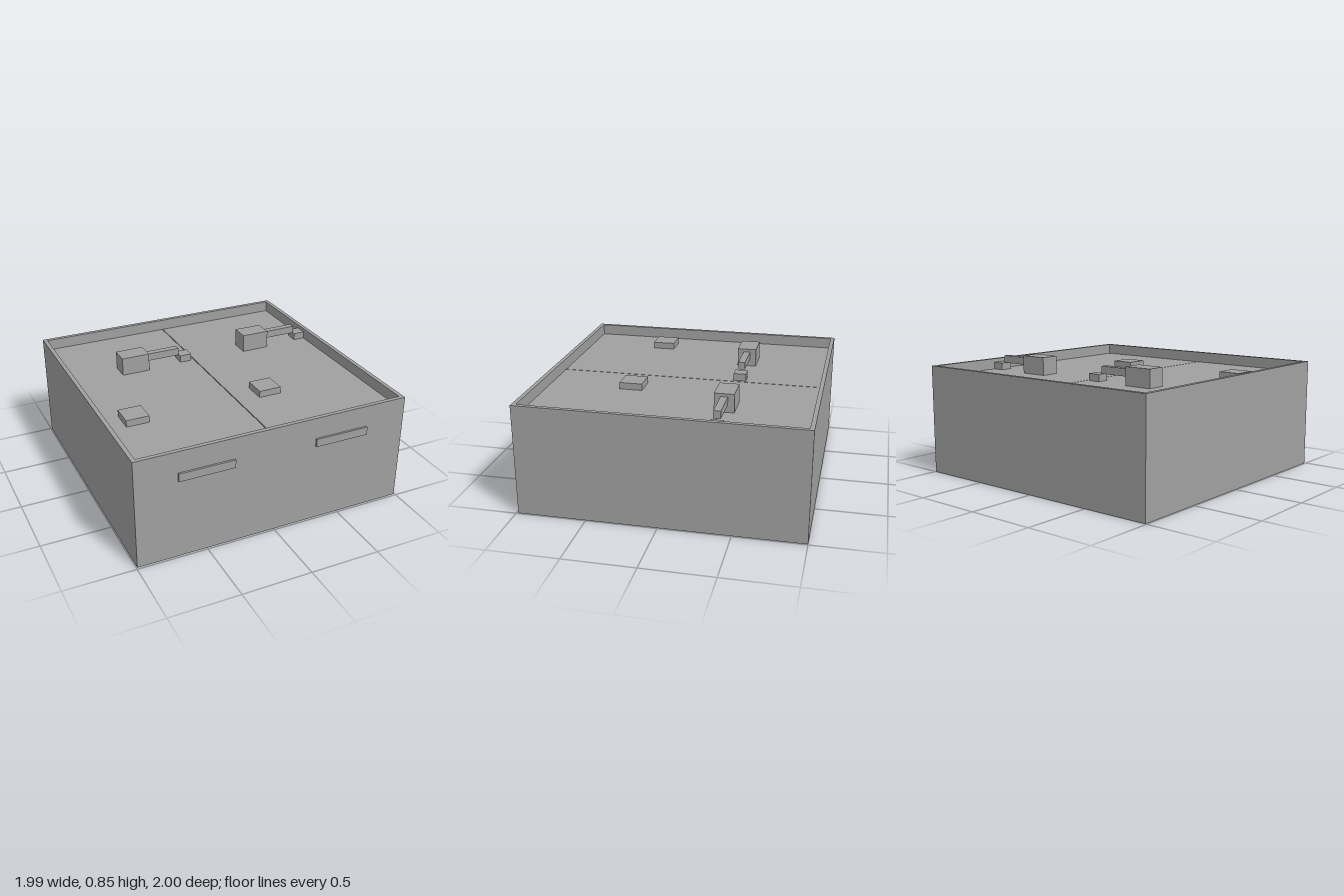
import * as THREE from 'three';

export function createModel() {
  const model = new THREE.Group();
  const grey = new THREE.MeshStandardMaterial({ color: 0xa0a0a0, side: THREE.DoubleSide });
  grey.name = 'grey';

  const HALF = 0.993, RIM = 0.03, TOP = 0.795, FLOOR = 0.715, MID_Z = -0.0075;

  // Box given by its minimum and maximum on each axis
  function box(name, x0, x1, y0, y1, z0, z1, parent = model) {
    const mesh = new THREE.Mesh(new THREE.BoxGeometry(x1 - x0, y1 - y0, z1 - z0), grey);
    mesh.position.set((x0 + x1) / 2, (y0 + y1) / 2, (z0 + z1) / 2);
    mesh.name = name;
    parent.add(mesh);
    return mesh;
  }

  // Square shell, open below: outer wall, narrow rim and inner lip as one four-sided turn
  const profile = [[HALF, 0], [HALF, TOP], [HALF - RIM, TOP], [HALF - RIM, FLOOR]]
    .map(([r, y]) => new THREE.Vector2(r * Math.SQRT2, y));
  const shellGeometry = new THREE.LatheGeometry(profile, 4, Math.PI / 4).toNonIndexed();
  shellGeometry.computeVertexNormals();
  const shell = new THREE.Mesh(shellGeometry, grey);
  shell.name = 'shell';
  shell.position.z = MID_Z;
  model.add(shell);

  // Two recessed floor panels with a fine gap between them
  const gap = 0.003, edge = HALF - 0.002;
  const zBack = MID_Z - edge, zFront = MID_Z + edge;
  box('rightFloorPanel', -edge, -gap, FLOOR - 0.008, FLOOR, zBack, zFront);
  box('leftFloorPanel', gap, edge, FLOOR - 0.008, FLOOR, zBack, zFront);

  // Each half carries a tap, a drain block and a front handle
  [['right', 0], ['left', 0.993]].forEach(([side, dx]) => {
    const unit = new THREE.Group();
    unit.name = side + 'Unit';
    unit.position.x = dx;
    model.add(unit);
    box('tapBase', -0.585, -0.377, FLOOR, 0.847, -0.442, -0.303, unit);
    box('tapArm', -0.377, -0.12, 0.77, 0.825, -0.397, -0.348, unit);
    box('tapSpout', -0.115, -0.025, FLOOR, 0.767, -0.42, -0.33, unit);
    box('drainBlock', -0.83, -0.665, FLOOR, 0.763, 0.27, 0.435, unit);
    box('frontHandle', -0.696, -0.3, 0.582, 0.641, 0.985, 1, unit);
  });

  return model;
}
